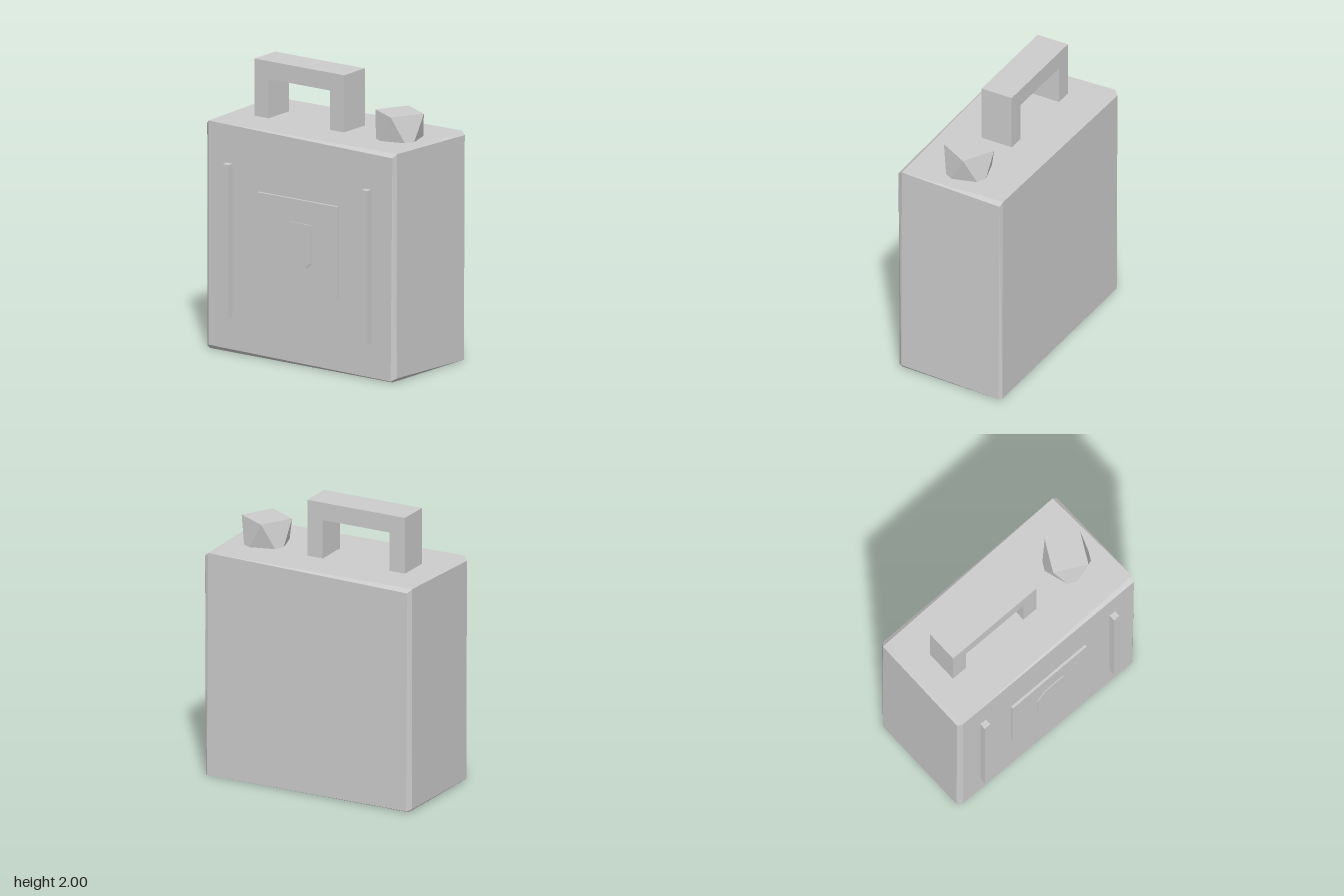
import * as THREE from 'three';
import { ConvexGeometry } from 'three/addons/geometries/ConvexGeometry.js';

const grey = new THREE.MeshStandardMaterial({ color: 0xcccccc });
grey.name = 'light grey';

function add(group, name, geometry) {
  const mesh = new THREE.Mesh(geometry, grey);
  mesh.name = name;
  group.add(mesh);
  return mesh;
}

// Box given by its lower and upper limits
function boxBetween(x0, x1, y0, y1, z0, z1) {
  return new THREE.BoxGeometry(x1 - x0, y1 - y0, z1 - z0)
    .translate((x0 + x1) / 2, (y0 + y1) / 2, (z0 + z1) / 2);
}

// Flat outline pushed from z0 to z1
function slab(points, z0, z1) {
  const shape = new THREE.Shape(points.map(([x, y]) => new THREE.Vector2(x, y)));
  return new THREE.ExtrudeGeometry(shape, { depth: z1 - z0, bevelEnabled: false }).translate(0, 0, z0);
}

export function createModel() {
  const model = new THREE.Group();
  model.name = 'canister';

  // Body with small uneven chamfers: corners of each skewed face
  const corners = [
    [-0.8, 1.6, -0.4], [0.77, 1.6, -0.43], [0.8, 1.6, 0.345], [-0.77, 1.6, 0.38],
    [-0.78, 1.575, -0.43], [0.8, 1.575, -0.42], [0.785, 1.575, 0.38], [-0.8, 1.575, 0.355],
    [-0.8, 0.02, -0.4], [0.8, 0.005, -0.41], [0.8, 0.03, 0.35], [-0.8, 0.015, 0.35],
    [-0.77, 0.01, -0.43], [0.78, 0.005, -0.43], [0.77, 0.01, 0.38], [-0.77, 0.03, 0.38],
    [-0.78, 0, -0.41], [0.78, 0, -0.41], [0.77, 0, 0.36], [-0.78, 0, 0.35],
  ];
  add(model, 'body', new ConvexGeometry(corners.map((p) => new THREE.Vector3(...p))));

  // Carrying handle, an upside-down U
  add(model, 'handle', slab([
    [-0.6, 1.59], [-0.48, 1.59], [-0.48, 1.875], [0.04, 1.875],
    [0.04, 1.59], [0.16, 1.59], [0.16, 2], [-0.6, 2],
  ], -0.145, 0.09));

  // Filler cap: square top twisted against a square base sunk in the body
  const capPoints = [];
  for (let i = 0; i < 4; i++) {
    const a = 0.29 + i * Math.PI / 2;
    const b = a + Math.PI / 4;
    const r = 0.175;
    capPoints.push(new THREE.Vector3(0.54 - r * Math.cos(a), 1.78, -0.03 + r * Math.sin(a)));
    capPoints.push(new THREE.Vector3(0.54 - r * Math.cos(b), 1.53, -0.03 + r * Math.sin(b)));
  }
  add(model, 'cap', new ConvexGeometry(capPoints));

  // Vertical ribs on the front
  add(model, 'rightRib', boxBetween(-0.615, -0.565, 0.25, 1.33, 0.385, 0.43));
  add(model, 'leftRib', boxBetween(0.56, 0.61, 0.25, 1.33, 0.385, 0.43));

  // Front panel and the small emblem plate with two clipped corners
  add(model, 'panel', boxBetween(-0.338, 0.334, 0.52, 1.17, 0.386, 0.404));
  add(model, 'emblemPlate', slab([
    [-0.122, 0.68], [0.055, 0.68], [0.117, 0.74],
    [0.117, 1.01], [-0.06, 1.01], [-0.122, 0.93],
  ], 0.41, 0.416));

  return model;
}
